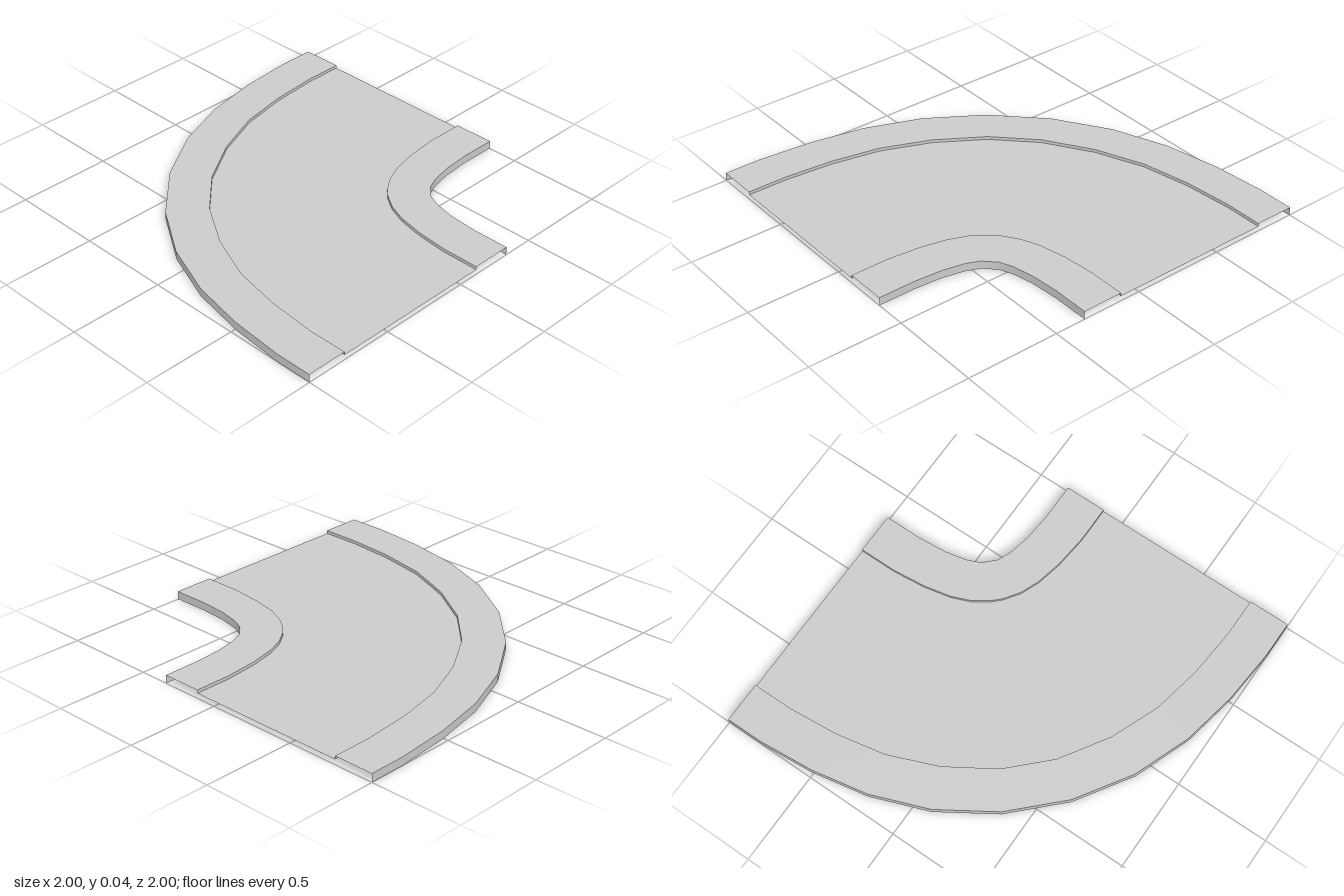
import * as THREE from 'three';

// Half of each rail as [x, z], from the front end to the bend's diagonal
const outerEdge = [[-1, 1], [-1, 0.8], [-0.975, 0.51], [-0.917, 0.21], [-0.803, -0.09], [-0.62, -0.375]];
const outerKerb = [[-0.78, 1], [-0.78, 0.79], [-0.757, 0.525], [-0.705, 0.26], [-0.6, 0], [-0.445, -0.245]];
const innerKerb = [[0.112, 1], [0.112, 0.8], [0.13, 0.62], [0.16, 0.48], [0.2, 0.38], [0.255, 0.3]];
const innerEdge = [[0.333, 1], [0.333, 0.8], [0.345, 0.645], [0.37, 0.53], [0.4, 0.46], [0.425, 0.435]];

const ROAD = 0.027, WALK = 0.044;

// Mirror a half rail across the diagonal and set its height
function rail(half, y) {
  const mirrored = half.map(([x, z]) => [z, x]).reverse();
  return [...half, ...mirrored].map(([x, z]) => [x, y, z]);
}

// Smooth ribbon between two rails
function ribbon(name, a, b, material) {
  const index = [];
  for (let i = 0; i < a.length - 1; i++) {
    const k = i * 2;
    index.push(k, k + 1, k + 2, k + 1, k + 3, k + 2);
  }
  const geometry = new THREE.BufferGeometry();
  const points = a.flatMap((p, i) => [...p, ...b[i]]);
  geometry.setAttribute('position', new THREE.Float32BufferAttribute(points, 3));
  geometry.setIndex(index);
  geometry.computeVertexNormals();
  const mesh = new THREE.Mesh(geometry, material);
  mesh.name = name;
  return mesh;
}

export function createModel() {
  const group = new THREE.Group();
  group.name = 'roadBend';
  const material = new THREE.MeshStandardMaterial({ color: 0xcccccc, side: THREE.DoubleSide });

  // Cross-section from the outside of the bend to the inside
  const rails = [
    rail(outerEdge, 0), rail(outerEdge, WALK),
    rail(outerKerb, WALK), rail(outerKerb, ROAD),
    rail(innerKerb, ROAD), rail(innerKerb, WALK),
    rail(innerEdge, WALK), rail(innerEdge, 0),
  ];
  const names = ['outerSkirt', 'outerPavement', 'outerKerb', 'roadSurface',
    'innerKerb', 'innerPavement', 'innerSkirt'];
  names.forEach((name, i) => group.add(ribbon(name, rails[i], rails[i + 1], material)));
  return group;
}
